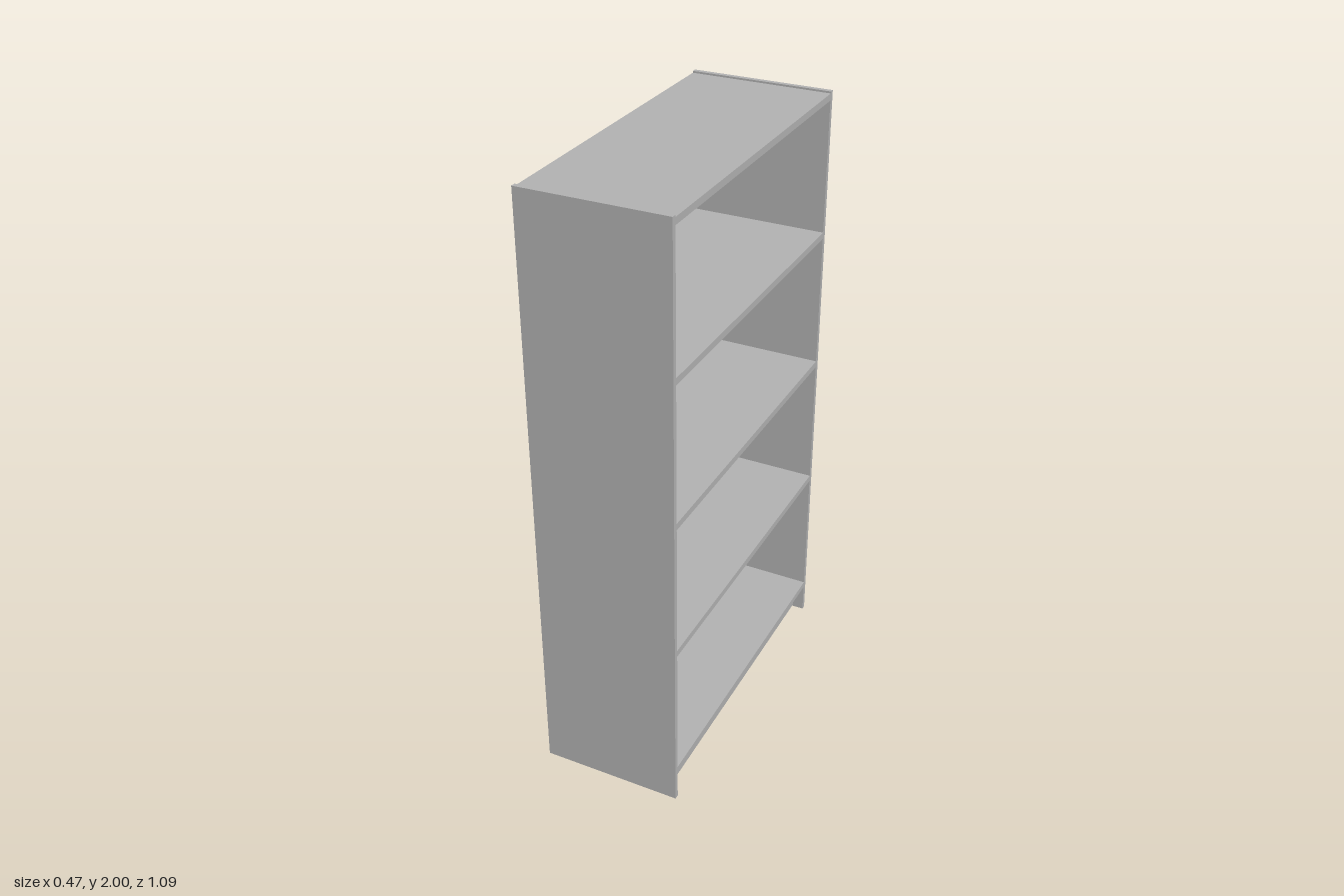
import * as THREE from 'three';

const DEPTH = 0.467;   // along x
const WIDTH = 1.094;   // along z
const PANEL = 0.016;   // side panel thickness
const SHELF = 0.022;   // shelf thickness

export function createModel() {
  const group = new THREE.Group();
  group.name = 'bookcase';

  const grey = new THREE.MeshStandardMaterial({ color: 0xb2b2b2 });
  grey.name = 'grey board';

  const board = (name, sx, sy, sz, x, y, z) => {
    const mesh = new THREE.Mesh(new THREE.BoxGeometry(sx, sy, sz), grey);
    mesh.name = name;
    mesh.position.set(x, y, z);
    group.add(mesh);
  };

  // Full-height end panels
  for (const side of [1, -1]) {
    board(side > 0 ? 'frontPanel' : 'backPanel', DEPTH, 2, PANEL,
      0, 1, side * (WIDTH - PANEL) / 2);
  }

  // Boards spanning between the panels; the top one sits just below the panel tops
  const inner = WIDTH - 2 * PANEL;
  [0.114, 0.59, 1.054, 1.525, 1.983].forEach((y, i) => {
    board(i === 4 ? 'topBoard' : `shelf${i + 1}`, DEPTH, SHELF, inner, 0, y, 0);
  });

  // Recessed plinth under the bottom shelf, on the +x opening
  board('plinth', 0.018, 0.1, inner, DEPTH / 2 - 0.049, 0.054, 0);

  return group;
}
